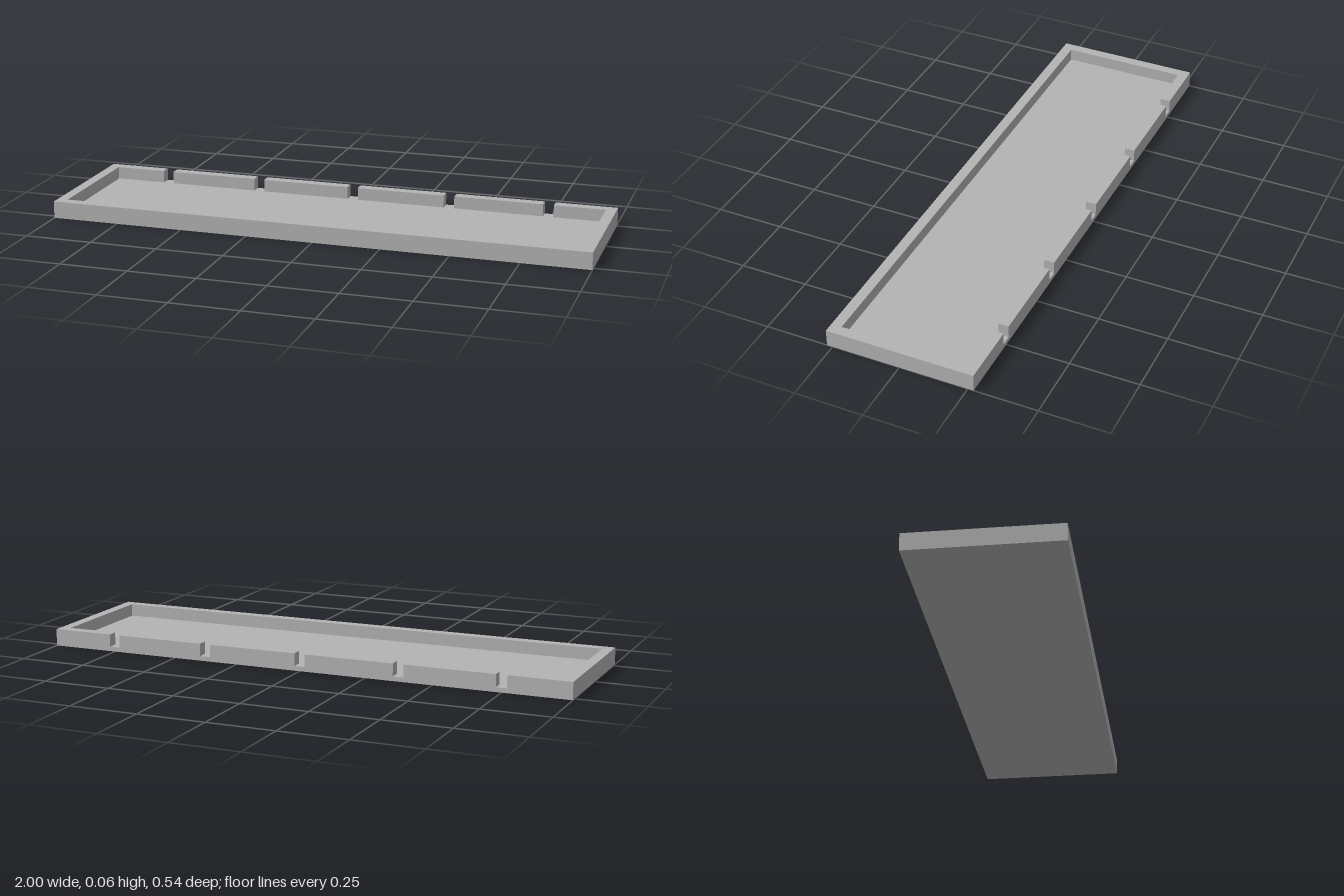
import * as THREE from 'three';

const W = 1, D = 0.271;            // half width and half depth
const H = 0.063, FLOOR = 0.017;    // total height, floor thickness
const WALL = 0.0385;               // wall thickness
const GAPS = [-0.75, -0.375, 0, 0.375, 0.75], GAP = 0.04;

export function createModel() {
  const model = new THREE.Group();
  model.name = 'tray';
  const grey = new THREE.MeshStandardMaterial({ color: 0xb3b3b3 });
  grey.name = 'grey';

  const add = (name, geometry, x = 0, y = 0, z = 0) => {
    const mesh = new THREE.Mesh(geometry, grey);
    mesh.name = name;
    mesh.position.set(x, y, z);
    model.add(mesh);
  };

  // Base plate
  add('floor', new THREE.BoxGeometry(2 * W, FLOOR, 2 * D), 0, FLOOR / 2, 0);

  // Rim running around the front and sides to the outermost back gaps
  const end = GAPS[4] + GAP / 2, iw = W - WALL, id = D - WALL;
  const outline = [
    [-end, D], [-W, D], [-W, -D], [W, -D], [W, D], [end, D],
    [end, id], [iw, id], [iw, -id], [-iw, -id], [-iw, id], [-end, id],
  ];
  const shape = new THREE.Shape(outline.map(([x, y]) => new THREE.Vector2(x, y)));
  const rim = new THREE.ExtrudeGeometry(shape, { depth: H - FLOOR, bevelEnabled: false });
  rim.rotateX(-Math.PI / 2);
  add('rim', rim, 0, FLOOR, 0);

  // Back wall segments between the gaps
  for (let i = 0; i < GAPS.length - 1; i++) {
    const length = GAPS[i + 1] - GAPS[i] - GAP;
    add('backWallSegment' + (i + 1), new THREE.BoxGeometry(length, H - FLOOR, WALL),
      (GAPS[i] + GAPS[i + 1]) / 2, (H + FLOOR) / 2, -D + WALL / 2);
  }
  return model;
}
